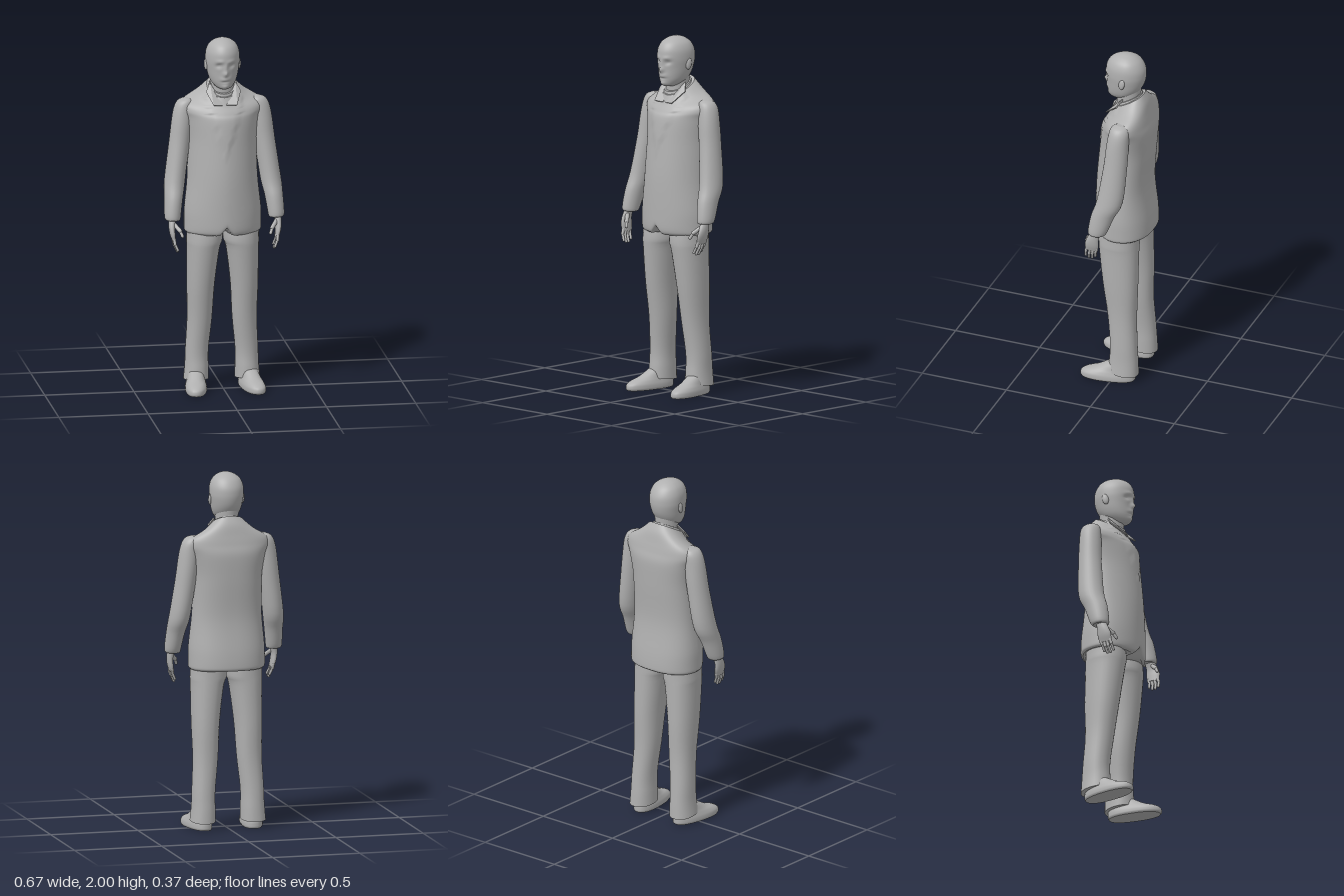
import * as THREE from 'three';
import { ConvexGeometry } from 'three/addons/geometries/ConvexGeometry.js';

const clay = new THREE.MeshStandardMaterial({ color: 0xb0b0b0 });
clay.name = 'grey';

// Monotone smooth interpolation between cross-section rows
function refine(rows, steps) {
  const slope = (i, k) => {
    const a = i > 0 ? rows[i][k] - rows[i - 1][k] : rows[1][k] - rows[0][k];
    const b = i < rows.length - 1 ? rows[i + 1][k] - rows[i][k] : a;
    if (a * b <= 0) return 0;
    return Math.sign(a) * Math.min(Math.abs(a + b) / 2, 3 * Math.abs(a), 3 * Math.abs(b));
  };
  const out = [];
  for (let i = 0; i < rows.length - 1; i++) {
    for (let j = 0; j < steps; j++) {
      const t = j / steps, u = t * t, w = u * t;
      out.push(rows[i].map((p, k) =>
        (2 * w - 3 * u + 1) * p + (w - 2 * u + t) * slope(i, k) +
        (3 * u - 2 * w) * rows[i + 1][k] + (w - u) * slope(i + 1, k)));
    }
  }
  out.push(rows[rows.length - 1]);
  return out;
}

// Rows run upwards: [y, centreX, halfWidth, middleZ, frontZ, backZ, forwardTilt]
function loft(rows, { seg = 28, steps = 4, front = 1, back = 1, warp = null } = {}) {
  const pos = [], idx = [], v = new THREE.Vector3();
  const rings = refine(rows, steps).map(([y, cx, rx, zc, zf, zb, tilt = 0]) => {
    const ring = [];
    for (let j = 0; j < seg; j++) {
      const a = (j / seg) * Math.PI * 2, s = Math.sin(a), c = Math.cos(a);
      const e = c > 0 ? front : back;
      const z = (c > 0 ? zf - zc : zc - zb) * Math.sign(c) * Math.abs(c) ** e;
      v.set(cx + rx * Math.sign(s) * Math.abs(s) ** e, y - tilt * z, zc + z);
      if (warp) warp(v);
      ring.push(v.clone());
    }
    return ring;
  });
  rings.flat().forEach((p) => pos.push(p.x, p.y, p.z));
  for (let i = 0; i < rings.length - 1; i++) {
    for (let j = 0; j < seg; j++) {
      const a = i * seg + j, b = i * seg + (j + 1) % seg;
      idx.push(a, b, b + seg, a, b + seg, a + seg);
    }
  }
  // End caps with their own vertices, so their edges stay sharp
  [rings[0], rings[rings.length - 1]].forEach((ring, top) => {
    const start = pos.length / 3, mid = new THREE.Vector3();
    ring.forEach((p) => { pos.push(p.x, p.y, p.z); mid.addScaledVector(p, 1 / seg); });
    pos.push(mid.x, mid.y, mid.z);
    for (let j = 0; j < seg; j++) {
      const a = start + j, b = start + (j + 1) % seg;
      if (top) idx.push(a, b, start + seg); else idx.push(b, a, start + seg);
    }
  });
  const geo = new THREE.BufferGeometry();
  geo.setAttribute('position', new THREE.Float32BufferAttribute(pos, 3));
  geo.setIndex(idx);
  geo.computeVertexNormals();
  return geo;
}

function add(parent, name, geo) {
  const mesh = new THREE.Mesh(geo, clay);
  mesh.name = name;
  parent.add(mesh);
  return mesh;
}

// Rounded rod between two points
function rod(parent, name, a, b, r) {
  const p = new THREE.Vector3(...a), q = new THREE.Vector3(...b), d = q.clone().sub(p);
  const mesh = add(parent, name, new THREE.CapsuleGeometry(r, d.length(), 4, 10));
  mesh.position.copy(p).add(q).multiplyScalar(0.5);
  mesh.quaternion.setFromUnitVectors(new THREE.Vector3(0, 1, 0), d.normalize());
}

const bump = (d, w) => Math.exp(-((d / w) ** 2));

// Face relief: nose, eye sockets, brow, lips and chin
function shapeFace(v) {
  if (v.z < 0.02) return;
  const { x, y } = v, ax = Math.abs(x);
  v.z += 0.022 * bump(x, 0.013) * bump(y - 1.818, 0.016)
    + 0.009 * bump(x, 0.01) * bump(y - 1.848, 0.022)
    - 0.012 * bump(ax - 0.036, 0.017) * bump(y - 1.863, 0.012)
    + 0.005 * bump(ax - 0.032, 0.024) * bump(y - 1.887, 0.01)
    + 0.010 * bump(x, 0.026) * bump(y - 1.785, 0.015)
    - 0.007 * bump(x, 0.022) * bump(y - 1.772, 0.005)
    + 0.008 * bump(x, 0.02) * bump(y - 1.742, 0.013);
}

// Jacket relief: front notch of the hem and raised lapels
function shapeJacket(v) {
  const ax = Math.abs(v.x);
  if (v.z < 0) return;
  if (v.y < 1.0) v.y += 0.045 * bump(v.x, 0.022) * (1 - Math.max(0, v.y - 0.9) / 0.1);
  if (v.y > 1.36 && ax < (v.y - 1.36) * 0.36) v.z += 0.006;
}

export function createModel() {
  const model = new THREE.Group();
  model.name = 'standingMan';

  // Jacket body
  add(model, 'jacket', loft([
    [0.90, 0, 0.205, -0.02, 0.125, -0.170, 0],
    [0.92, 0, 0.215, -0.02, 0.146, -0.184, 0],
    [1.00, 0, 0.215, -0.02, 0.150, -0.180, 0],
    [1.20, 0, 0.197, -0.03, 0.147, -0.160, 0],
    [1.40, 0, 0.192, -0.045, 0.130, -0.173, 0],
    [1.54, 0, 0.210, -0.06, 0.112, -0.180, 0],
    [1.60, 0, 0.232, -0.065, 0.092, -0.168, 0.1],
    [1.64, 0, 0.215, -0.065, 0.074, -0.158, 0.2],
    [1.68, 0, 0.140, -0.055, 0.062, -0.145, 0.4],
    [1.72, 0, 0.085, -0.040, 0.046, -0.122, 0.55],
  ], { seg: 64, steps: 6, front: 1.08, back: 0.85, warp: shapeJacket }));

  // Neck, shirt collar and head
  add(model, 'neck', loft([
    [1.60, 0, 0.066, -0.03, 0.035, -0.095],
    [1.72, 0, 0.064, -0.03, 0.035, -0.098],
    [1.82, 0, 0.070, -0.03, 0.035, -0.105],
  ]));
  add(model, 'shirtCollar', loft([
    [1.69, 0, 0.084, -0.035, 0.052, -0.118, 0.5],
    [1.73, 0, 0.072, -0.035, 0.044, -0.108, 0.5],
  ]));
  add(model, 'head', loft([
    [1.725, 0, 0.030, 0.02, 0.068, -0.02],
    [1.735, 0, 0.048, 0.01, 0.081, -0.045],
    [1.76, 0, 0.069, -0.01, 0.088, -0.075],
    [1.79, 0, 0.081, -0.02, 0.090, -0.102],
    [1.83, 0, 0.089, -0.025, 0.092, -0.122],
    [1.88, 0, 0.095, -0.03, 0.098, -0.131],
    [1.92, 0, 0.093, -0.03, 0.096, -0.127],
    [1.96, 0, 0.078, -0.03, 0.078, -0.106],
    [1.985, 0, 0.051, -0.025, 0.045, -0.076],
    [1.997, 0, 0.022, -0.02, 0.010, -0.045],
    [2.00, 0, 0.003, -0.02, -0.017, -0.023],
  ], { seg: 64, steps: 6, warp: shapeFace }));

  for (const s of [1, -1]) {
    const side = new THREE.Group();
    side.name = s > 0 ? 'leftSide' : 'rightSide';
    model.add(side);

    // Ear
    const ear = add(side, 'ear', new THREE.SphereGeometry(1, 14, 10));
    ear.scale.set(0.010, 0.032, 0.019);
    ear.position.set(s * 0.093, 1.85, -0.025);
    ear.rotation.set(-0.2, s * -0.25, 0);

    // Folded collar flap
    const flap = [[0.072, 1.745, -0.02], [0.008, 1.635, 0.072], [0.066, 1.638, 0.084], [0.098, 1.70, 0.01]];
    add(side, 'collarFlap', new ConvexGeometry(flap.flatMap(([x, y, z]) => [
      new THREE.Vector3(s * x, y, z), new THREE.Vector3(s * (x - 0.003), y - 0.004, z - 0.006)])));

    // Sleeve
    add(side, 'sleeve', loft([
      [0.985, s * 0.288, 0.038, 0.045, 0.084, 0.002],
      [1.00, s * 0.290, 0.045, 0.042, 0.095, -0.012],
      [1.10, s * 0.281, 0.051, 0.015, 0.080, -0.052],
      [1.20, s * 0.268, 0.058, -0.025, 0.050, -0.098],
      [1.40, s * 0.240, 0.058, -0.045, 0.022, -0.112],
      [1.52, s * 0.225, 0.058, -0.05, 0.012, -0.115],
      [1.60, s * 0.214, 0.054, -0.055, 0.002, -0.115],
      [1.64, s * 0.203, 0.043, -0.055, -0.01, -0.105],
      [1.655, s * 0.195, 0.018, -0.055, -0.035, -0.08],
    ]));

    // Hand: wrist and palm, then bent fingers and thumb
    add(side, 'palm', loft([
      [0.875, s * 0.288, 0.010, 0.075, 0.112, 0.040],
      [0.91, s * 0.295, 0.015, 0.072, 0.114, 0.032],
      [0.95, s * 0.299, 0.017, 0.066, 0.102, 0.030],
      [1.00, s * 0.293, 0.022, 0.052, 0.078, 0.022],
    ], { seg: 16 }));
    for (let i = 0; i < 4; i++) {
      const z = 0.046 + i * 0.019, drop = [0.014, 0, 0, 0.010][i];
      const knuckle = [s * 0.287, 0.852 + drop, z + 0.008];
      rod(side, 'finger', [s * 0.290, 0.888, z], knuckle, 0.009);
      rod(side, 'fingertip', knuckle, [s * 0.272, 0.818 + drop, z + 0.014], 0.0075);
    }
    rod(side, 'thumb', [s * 0.285, 0.965, 0.075], [s * 0.258, 0.935, 0.108], 0.012);
    rod(side, 'thumbTip', [s * 0.258, 0.935, 0.108], [s * 0.247, 0.908, 0.122], 0.009);

    // Trouser leg
    add(side, 'trouserLeg', loft([
      [0.05, s * 0.144, 0.070, -0.055, 0.030, -0.143, -0.1],
      [0.12, s * 0.141, 0.066, -0.055, 0.025, -0.140, 0],
      [0.20, s * 0.140, 0.064, -0.055, 0.020, -0.135, 0],
      [0.40, s * 0.126, 0.069, -0.045, 0.040, -0.125, 0],
      [0.60, s * 0.122, 0.077, -0.03, 0.070, -0.130, 0],
      [0.80, s * 0.110, 0.090, -0.02, 0.095, -0.130, 0],
      [0.86, s * 0.102, 0.100, -0.02, 0.100, -0.130, 0],
      [0.95, s * 0.100, 0.100, -0.02, 0.090, -0.130, 0],
    ], { front: 0.95, back: 0.9 }));

    // Shoe, toe turned slightly outwards
    const shoe = add(side, 'shoe', loft([
      [0.000, 0, 0.056, 0.04, 0.180, -0.120],
      [0.012, 0, 0.061, 0.04, 0.187, -0.126],
      [0.030, 0, 0.060, 0.04, 0.184, -0.126],
      [0.050, 0, 0.054, 0.02, 0.155, -0.122],
      [0.070, 0, 0.048, -0.01, 0.095, -0.118],
      [0.110, 0, 0.042, -0.05, 0.020, -0.112],
    ], { front: 0.9, back: 0.8 }));
    shoe.position.x = s * 0.153;
    shoe.rotation.y = s * 0.14;
  }
  return model;
}
